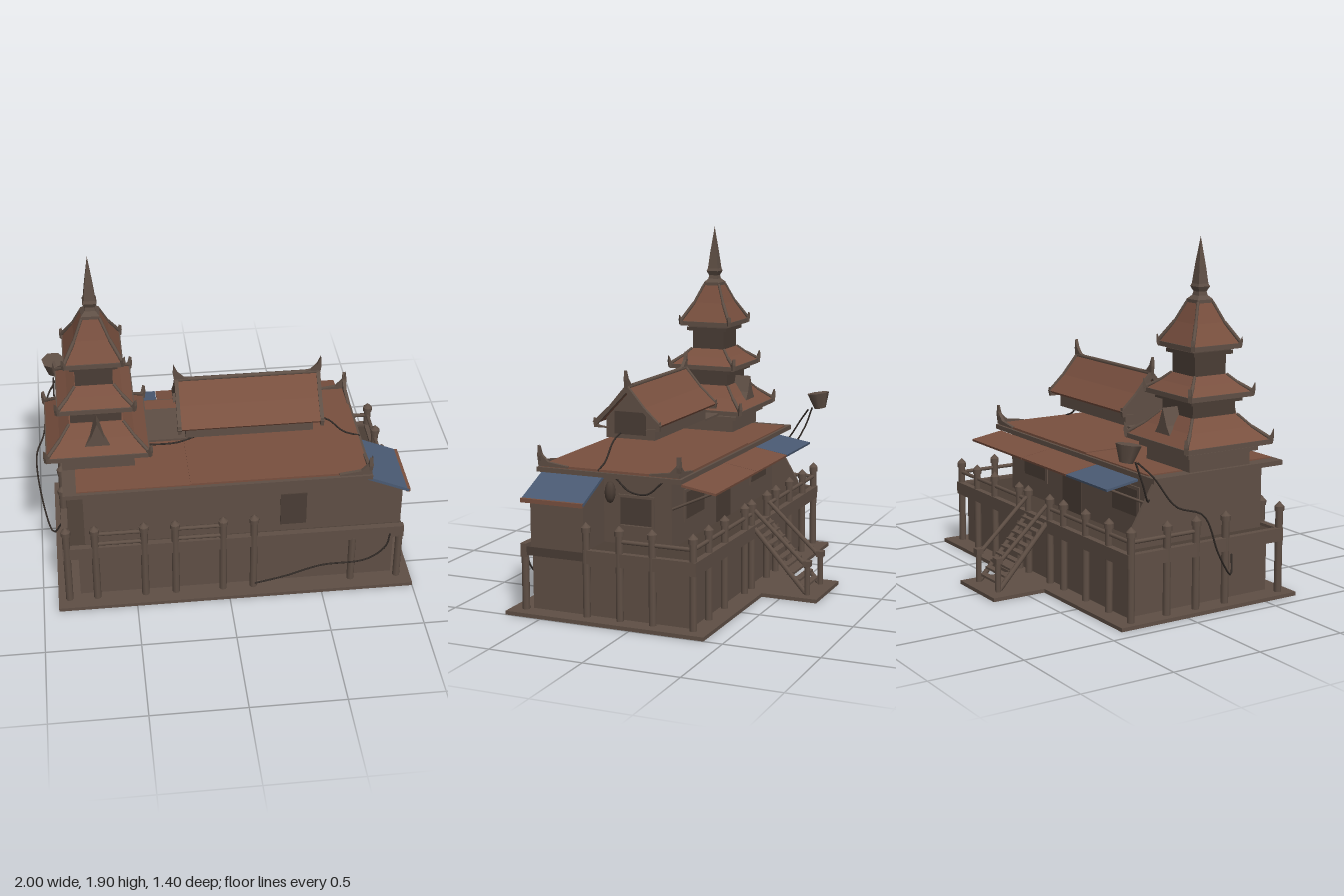
import * as THREE from 'three';

const mat = (name, color) => {
  const m = new THREE.MeshStandardMaterial({ color });
  m.name = name;
  return m;
};
const wood = mat('weathered wood', 0x5f4f45);
const darkWood = mat('dark wood', 0x4a3d35);
const tile = mat('terracotta', 0x79503f);
const blue = mat('faded blue', 0x4a5a73);
const cord = mat('cable', 0x332c28);
tile.side = blue.side = THREE.DoubleSide;

export function createModel() {
  const root = new THREE.Group();
  const add = (name, geo, m, parent = root) => {
    const mesh = new THREE.Mesh(geo, m);
    mesh.name = name;
    parent.add(mesh);
    return mesh;
  };
  // box from min/max ranges
  const box = (name, x0, x1, y0, y1, z0, z1, m = wood, parent = root) =>
    add(name, new THREE.BoxGeometry(x1 - x0, y1 - y0, z1 - z0)
      .translate((x0 + x1) / 2, (y0 + y1) / 2, (z0 + z1) / 2), m, parent);
  // round bar between two points
  const rod = (name, a, b, r, m = wood, parent = root) => {
    const p = new THREE.Vector3(...a), d = new THREE.Vector3(...b).sub(p);
    const mesh = add(name, new THREE.CylinderGeometry(r, r, d.length(), 8), m, parent);
    mesh.position.copy(p).addScaledVector(d, 0.5);
    mesh.quaternion.setFromUnitVectors(new THREE.Vector3(0, 1, 0), d.normalize());
    return mesh;
  };
  // square stepped solid from [half width, y] pairs
  const squareLathe = (name, pts, m, parent) => {
    const g = new THREE.LatheGeometry(pts.map(([h, y]) => new THREE.Vector2(h * Math.SQRT2, y)), 4)
      .rotateY(Math.PI / 4).toNonIndexed();
    g.computeVertexNormals();
    return add(name, g, m, parent);
  };
  const shapeOf = pts => new THREE.Shape(pts.map(p => new THREE.Vector2(...p)));
  const extrude = (pts, depth) => new THREE.ExtrudeGeometry(shapeOf(pts), { depth, bevelEnabled: false });
  // profile in (z, y), extruded from x0 to x1
  const alongX = (name, pts, x0, x1, m, parent = root) =>
    add(name, extrude(pts.map(([z, y]) => [-z, y]), x1 - x0).rotateY(Math.PI / 2).translate(x0, 0, 0), m, parent);
  const cable = (name, pts, r = 0.005) =>
    add(name, new THREE.TubeGeometry(new THREE.CatmullRomCurve3(pts.map(p => new THREE.Vector3(...p))), 32, r, 5), cord);
  // upswept horn whose tip points along the given angle
  const horn = (name, x, y, z, angle, s, parent = root) => {
    const h = add(name, extrude([[-1.5, 0], [0.05, 0], [0.12, 0.5], [0.08, 1], [-0.12, 0.55], [-0.45, 0.22], [-1.5, 0.08]]
      .map(p => [p[0] * s, p[1] * s]), 0.018).translate(0, 0, -0.009), wood, parent);
    h.position.set(x, y, z);
    h.rotation.y = angle;
  };

  // ground slab, lower storey and deck
  box('baseSlab', -0.92, 1, 0, 0.02, -0.4, 0.7);
  box('stairSlab', -0.17, 0.205, 0, 0.02, -0.705, -0.4);
  box('lowerStorey', -0.8, 0.9, 0.02, 0.32, -0.29, 0.59);
  box('deck', -0.87, 0.94, 0.31, 0.355, -0.33, 0.63, darkWood);
  for (const z of [-0.32, 0.62]) box('deckBeam', -0.88, 0.945, 0.3, 0.37, z - 0.017, z + 0.017);
  for (const x of [-0.865, 0.925]) box('deckBeam', x - 0.017, x + 0.017, 0.3, 0.37, -0.33, x > 0 ? 0.28 : 0.63);

  // posts with caps
  const post = (x, z, top = 0.5) => {
    rod('post', [x, 0.02, z], [x, top - 0.03, z], 0.02);
    if (top > 0.45) {
      rod('postCap', [x, top - 0.04, z], [x, top - 0.015, z], 0.026);
      add('postTip', new THREE.ConeGeometry(0.024, 0.025, 8).translate(x, top, z), wood);
    }
  };
  const frontX = [-0.86, -0.71, -0.45, -0.285, -0.03, 0.135];
  const backX = [-0.87, -0.67, -0.45, -0.23, -0.09, 0.14, 0.24, 0.52, 0.73, 0.925];
  const sideZ = [-0.095, 0.085, 0.27];
  frontX.forEach(x => post(x, 0.625));
  [0.67, 0.925].forEach(x => post(x, 0.62, 0.34));
  backX.forEach(x => post(x, -0.315));
  sideZ.forEach(z => { post(0.925, z); post(-0.865, z); });

  // hand rails
  const rail = (a, b) => rod('handRail', a, b, 0.011);
  for (const [a, b] of [[-0.71, -0.45], [-0.285, -0.03]])
    for (const y of [0.455, 0.39]) rail([a, y, 0.625], [b, y, 0.625]);
  for (const [a, b] of [[-0.87, -0.09], [0.14, 0.925]]) rail([a, 0.43, -0.315], [b, 0.43, -0.315]);
  rail([0.925, 0.43, -0.315], [0.925, 0.43, 0.085]);
  rail([-0.865, 0.43, -0.315], [-0.865, 0.43, 0.085]);

  // stairs
  const stairs = new THREE.Group();
  stairs.name = 'stairs';
  root.add(stairs);
  for (const x of [-0.08, 0.135]) {
    rod('stringer', [x, 0.35, -0.33], [x, 0.03, -0.62], 0.014, wood, stairs);
    rod('stairRail', [x, 0.45, -0.33], [x, 0.18, -0.62], 0.012, wood, stairs);
    rod('newelPost', [x, 0.02, -0.63], [x, 0.19, -0.63], 0.016, wood, stairs);
    box('newelCap', x - 0.02, x + 0.02, 0.175, 0.205, -0.65, -0.61, wood, stairs);
  }
  for (let i = 0; i < 9; i++) {
    const t = (i + 0.5) / 9, y = 0.36 - t * 0.32, z = -0.33 - t * 0.29;
    box('tread', -0.08, 0.135, y - 0.006, y + 0.006, z - 0.018, z + 0.018, wood, stairs);
  }

  // upper storey, right lean-to and slanting end wall
  box('upperStorey', -0.76, 0.7, 0.35, 0.71, -0.1, 0.58);
  add('leanTo', extrude([[0.69, 0.35], [0.935, 0.35], [0.935, 0.6], [0.69, 0.695]], 0.3).translate(0, 0, 0.28), wood);
  const leanRoof = box('leanToRoof', -0.14, 0.14, -0.008, 0.008, 0.27, 0.62, blue);
  leanRoof.position.set(0.83, 0.655, 0);
  leanRoof.rotation.z = -0.41;
  box('leanToFascia', 0.945, 0.965, 0.59, 0.612, 0.27, 0.62, tile);
  alongX('endWall', [[-0.1, 0.35], [-0.1, 0.69], [-0.26, 0.42], [-0.26, 0.35]], -0.76, -0.745, wood);

  // windows and back door
  box('frontWindow', 0.28, 0.42, 0.4, 0.6, 0.578, 0.586, darkWood);
  box('sideWindow', 0.698, 0.706, 0.46, 0.6, 0.005, 0.185, darkWood);
  for (const y of [0.45, 0.61]) box('windowFrame', 0.7, 0.712, y - 0.006, y + 0.006, -0.005, 0.195);
  for (const z of [0, 0.19]) box('windowFrame', 0.7, 0.712, 0.45, 0.61, z - 0.006, z + 0.006);
  for (const x of [-0.5, 0.42]) {
    box('backWindowFrame', x - 0.13, x + 0.13, 0.46, 0.63, -0.108, -0.1);
    box('backWindow', x - 0.115, x + 0.115, 0.475, 0.615, -0.111, -0.106, darkWood);
  }
  box('backDoor', -0.07, 0.12, 0.36, 0.63, -0.108, -0.1, darkWood);
  add('lantern', new THREE.SphereGeometry(0.03, 8, 6).scale(1, 1.9, 1).translate(0.74, 0.63, 0.225), darkWood);

  // main roof, corner horns and back awnings
  box('roofEdge', -0.86, 0.755, 0.705, 0.73, -0.175, 0.64);
  box('roofTiles', -0.79, -0.2, 0.73, 0.737, -0.16, 0.62, tile);
  box('roofTiles', -0.2, 0.74, 0.73, 0.742, -0.16, 0.62, tile);
  for (const [z, a] of [[0.625, -Math.PI / 2], [-0.16, Math.PI / 2]]) {
    horn('roofHorn', 0.742, 0.735, z, 0, 0.108);
    horn('roofHorn', 0.742, 0.735, z, a, 0.108);
  }
  for (const [a, b, m] of [[-0.7, -0.312, blue], [-0.308, 0.148, tile], [0.152, 0.72, tile]]) {
    const awning = box('awning', a, b, -0.006, 0.006, -0.095, 0.095, m);
    awning.position.set(0, 0.677, -0.255);
    awning.rotation.x = -0.16;
  }
  for (const x of [-0.66, -0.3, 0.15, 0.69]) rod('awningStrut', [x, 0.56, -0.1], [x, 0.66, -0.32], 0.007);

  // tower of three stacked roofs
  const tower = new THREE.Group();
  tower.name = 'tower';
  tower.position.set(-0.665, 0, 0.235);
  root.add(tower);
  squareLathe('towerBase', [[0, 0.735], [0.19, 0.735], [0.19, 0.81], [0.22, 0.81], [0.22, 0.83], [0, 0.83]], wood, tower);
  squareLathe('towerNeck', [[0, 0.96], [0.133, 0.96], [0.133, 1.065], [0.16, 1.065], [0.16, 1.085], [0, 1.085]], darkWood, tower);
  squareLathe('towerNeck', [[0, 1.18], [0.097, 1.18], [0.097, 1.305], [0.122, 1.305], [0.122, 1.325], [0, 1.325]], darkWood, tower);
  for (const [h0, y0, h1, y1, s] of [[0.27, 0.845, 0.14, 0.995, 0.075], [0.2, 1.09, 0.1, 1.2, 0.068], [0.152, 1.335, 0.045, 1.57, 0.055]]) {
    const e = y0 + 0.025, mh = h0 * 0.42 + h1 * 0.58, my = (e + y1) / 2;
    squareLathe('towerEave', [[0, y0], [h0, y0], [h0, e], [0, e]], wood, tower);
    squareLathe('towerRoof', [[h0 - 0.006, e], [mh, my], [h1, y1], [0, y1]], tile, tower);
    for (let i = 0; i < 4; i++) {
      const a = Math.PI / 4 + i * Math.PI / 2, c = Math.SQRT2 * Math.cos(a), n = Math.SQRT2 * Math.sin(a);
      rod('hipRidge', [h0 * c, e, h0 * n], [mh * c, my, mh * n], 0.01, wood, tower);
      rod('hipRidge', [mh * c, my, mh * n], [h1 * c, y1, h1 * n], 0.008, wood, tower);
      horn('towerHorn', h0 * c, y0 + 0.005, h0 * n, -a, s, tower);
    }
  }
  // spire
  squareLathe('spire', [[0, 1.56], [0.048, 1.56], [0.048, 1.58], [0.028, 1.6], [0.024, 1.62], [0.036, 1.645], [0.03, 1.66],
    [0.02, 1.75], [0.008, 1.84], [0, 1.9]], wood, tower);
  // dormers on the lowest tower roof
  for (const side of [1, -1]) {
    const d = add('dormer', extrude([[-0.08, 0.885], [0.08, 0.885], [0.035, 0.95], [0, 1.04], [-0.035, 0.95]], 0.1), wood, tower);
    d.position.z = 0.125 * side;
    if (side < 0) d.rotation.y = Math.PI;
  }

  // upper hall with a gabled roof
  const hall = new THREE.Group();
  hall.name = 'upperHall';
  hall.position.z = 0.235;
  root.add(hall);
  box('hallLink', -0.41, -0.19, 0.845, 0.857, -0.14, 0.14, wood, hall);
  alongX('hallWalls', [[-0.14, 0.857], [0.14, 0.857], [0.14, 0.96], [0, 1.11], [-0.14, 0.96]], -0.2, 0.475, wood, hall);
  const chevron = (w, y0, top, t) => [[-w, y0], [-w * 0.5, (y0 + top) / 2 - 0.012], [0, top], [w * 0.5, (y0 + top) / 2 - 0.012],
    [w, y0], [w - t * 0.5, y0 - t * 0.7], [0, top - t * 1.3], [-w + t * 0.5, y0 - t * 0.7]].reverse();
  alongX('hallRoof', chevron(0.19, 0.945, 1.14, 0.018), -0.235, 0.515, tile, hall);
  rod('ridge', [-0.24, 1.135, 0], [0.52, 1.135, 0], 0.012, wood, hall);
  for (const x of [-0.245, 0.505]) {
    alongX('bargeboard', chevron(0.195, 0.945, 1.15, 0.032), x, x + 0.02, wood, hall);
    for (const s of [1, -1]) horn('eaveHorn', x + 0.01, 0.915, 0.185 * s, -s * Math.PI / 2, 0.05, hall);
    horn('ridgeHorn', x + 0.01 + Math.sign(x) * 0.005, 1.125, 0, x > 0 ? 0 : Math.PI, 0.1, hall);
  }
  box('gablePanel', 0.474, 0.481, 0.88, 1.0, -0.09, 0.09, darkWood, hall);

  // lamp cup and hanging cables
  const cup = add('lampCup', new THREE.CylinderGeometry(0.066, 0.035, 0.09, 7), wood);
  cup.position.set(-0.875, 0.885, -0.342);
  cup.rotation.x = 0.15;
  cable('cupCable', [[-0.88, 0.84, -0.3], [-0.88, 0.72, -0.255], [-0.84, 0.62, -0.2], [-0.77, 0.6, -0.14]]);
  cable('sideCable', [[-0.87, 0.83, -0.28], [-0.92, 0.76, -0.22], [-0.95, 0.6, -0.1], [-0.995, 0.55, 0.03], [-0.98, 0.33, 0.14],
    [-0.93, 0.19, 0.26], [-0.88, 0.28, 0.3]]);
  cable('frontCable', [[0.14, 0.05, 0.645], [0.3, 0.08, 0.64], [0.5, 0.14, 0.64], [0.75, 0.16, 0.64], [0.85, 0.24, 0.64], [0.87, 0.33, 0.64]]);
  cable('roofCable', [[0.47, 0.89, 0.29], [0.57, 0.855, 0.29], [0.66, 0.77, 0.29], [0.75, 0.735, 0.29]]);
  cable('linkCable', [[-0.52, 0.85, 0.4], [-0.4, 0.84, 0.39], [-0.25, 0.835, 0.38], [-0.15, 0.86, 0.37]]);
  cable('wallCable', [[0.72, 0.7, 0.2], [0.72, 0.64, 0.13], [0.72, 0.63, 0.03], [0.72, 0.7, -0.06]]);

  return root;
}
